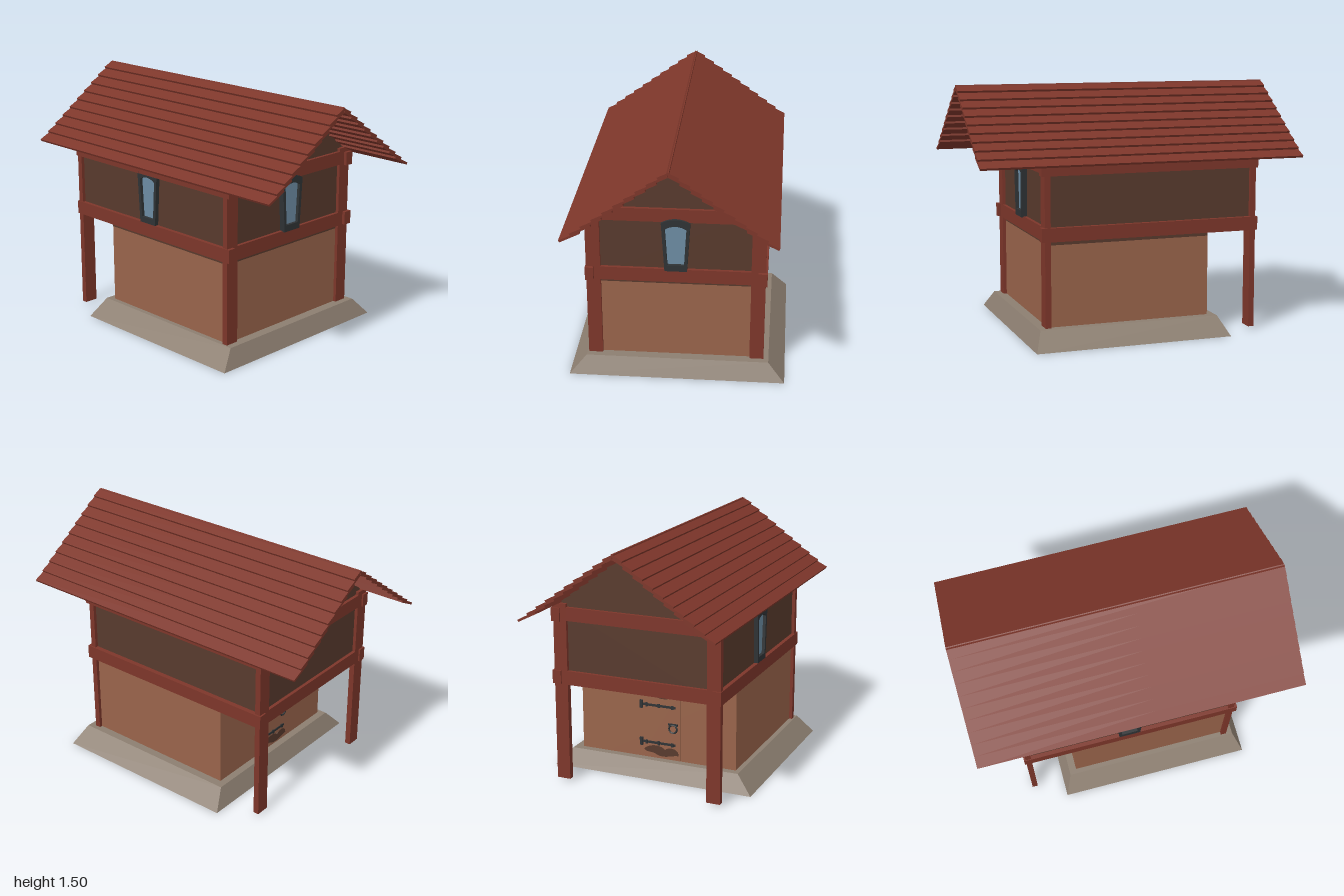
import * as THREE from 'three';

const mat = (name, color, side = THREE.FrontSide) => {
  const m = new THREE.MeshStandardMaterial({ color, side });
  m.name = name;
  return m;
};

export function createModel() {
  const red = mat('red timber', 0x7d362a);
  const clay = mat('clay wall', 0x99644b);
  const brown = mat('dark brown boards', 0x583a2d);
  const stone = mat('stone', 0x8c7e70, THREE.DoubleSide);
  const iron = mat('dark iron', 0x2f3335);
  const glass = mat('blue glass', 0x6c8ca3);

  const model = new THREE.Group();
  const add = (name, geometry, material, parent = model) => {
    const mesh = new THREE.Mesh(geometry, material);
    mesh.name = name;
    parent.add(mesh);
    return mesh;
  };
  // Box given by its limits on each axis
  const box = (name, material, x0, x1, y0, y1, z0, z1, parent = model) => {
    const mesh = add(name, new THREE.BoxGeometry(x1 - x0, y1 - y0, z1 - z0), material, parent);
    mesh.position.set((x0 + x1) / 2, (y0 + y1) / 2, (z0 + z1) / 2);
    return mesh;
  };
  const extrude = (shape, depth) => new THREE.ExtrudeGeometry(shape, { depth, bevelEnabled: false, curveSegments: 10 });
  const polygon = (points) => new THREE.Shape(points.map(([x, y]) => new THREE.Vector2(x, y)));

  // Flared stone plinth: sloping skirt and flat ledge, open underneath
  const rings = [
    [-0.65, 0.65, -0.51, 0.70, 0],
    [-0.55, 0.55, -0.46, 0.65, 0.11],
    [-0.51, 0.49, -0.41, 0.58, 0.11],
  ].map(([x0, x1, z0, z1, y]) => [[x0, y, z1], [x1, y, z1], [x1, y, z0], [x0, y, z0]]);
  const verts = [];
  for (let r = 0; r < 2; r++) {
    for (let i = 0; i < 4; i++) {
      const j = (i + 1) % 4;
      const [a, b, c, d] = [rings[r][i], rings[r][j], rings[r + 1][j], rings[r + 1][i]];
      verts.push(...a, ...b, ...c, ...a, ...c, ...d);
    }
  }
  const plinth = new THREE.BufferGeometry();
  plinth.setAttribute('position', new THREE.Float32BufferAttribute(verts, 3));
  plinth.computeVertexNormals();
  add('plinth', plinth, stone);

  // Ground floor
  box('groundFloorWalls', clay, -0.52, 0.50, 0.008, 0.595, -0.415, 0.59);
  box('floor', brown, -0.52, 0.50, 0, 0.008, -0.415, 0.59);
  box('ceilingBoards', brown, -0.52, 0.50, 0.595, 0.615, -0.415, 0.59);

  // Upper storey with both gables
  const storey = polygon([[-0.52, 0.615], [0.50, 0.615], [0.50, 1.10], [-0.01, 1.488], [-0.52, 1.10]]);
  add('upperStorey', extrude(storey, 1.29), brown).position.z = -0.70;

  // Timber frame: posts, cross beams and long side beams
  for (const [z0, z1, foot] of [[0.575, 0.61, 0.11], [-0.72, -0.685, 0.015]]) {
    box('rightPost', red, -0.54, -0.455, foot, 1.11, z0, z1);
    box('leftPost', red, 0.435, 0.52, foot, 1.11, z0, z1);
    box('lowerCrossBeam', red, -0.535, 0.525, 0.615, 0.70, z0, z1);
    box('upperCrossBeam', red, -0.535, 0.525, 1.008, 1.09, z0, z1);
  }
  for (const [x0, x1] of [[-0.545, -0.495], [0.475, 0.53]]) {
    box('lowerSideBeam', red, x0, x1, 0.618, 0.70, -0.73, 0.63);
    box('upperSideBeam', red, x0, x1, 1.0, 1.082, -0.73, 0.63);
  }

  // Roof of lapped planks
  const roof = new THREE.Group();
  roof.name = 'roof';
  roof.position.x = -0.0125;
  model.add(roof);
  for (const side of [-1, 1]) {
    for (let i = 0; i < 10; i++) {
      const x1 = 0.607 - i * 0.0607, y1 = 1.068 + i * 0.0442;
      const run = i === 9 ? x1 + 0.006 : 0.118;
      const x0 = x1 - run, y0 = y1 + run * 0.49;
      const t = 0.012;
      const section = [[x0, y0], [x0 - 0.004, y0 - t], [x1 - 0.006, y1 - t], [x1, y1]];
      const pts = section.map(([x, y]) => [side * x, y]);
      add('roofPlank', extrude(polygon(pts), 2), red, roof).position.z = -1;
    }
  }

  // Tapered windows with an arched head
  const outline = (path, bottom, top, y0, y1, peak) => {
    path.moveTo(-bottom, y0);
    path.lineTo(bottom, y0);
    path.lineTo(top, y1);
    path.quadraticCurveTo(top * 0.55, peak, 0, peak);
    path.quadraticCurveTo(-top * 0.55, peak, -top, y1);
    path.closePath();
    return path;
  };
  const makeWindow = () => {
    const group = new THREE.Group();
    group.name = 'window';
    const frame = outline(new THREE.Shape(), 0.066, 0.085, 0.695, 1.005, 1.03);
    frame.holes.push(outline(new THREE.Path(), 0.049, 0.063, 0.735, 0.967, 0.987));
    add('windowFrame', extrude(frame, 0.035), iron, group);
    const pane = outline(new THREE.Shape(), 0.051, 0.065, 0.733, 0.969, 0.989);
    add('windowPane', extrude(pane, 0.008), glass, group).position.z = 0.008;
    model.add(group);
    return group;
  };
  makeWindow().position.set(-0.008, 0, 0.59);
  const sideWindow = makeWindow();
  sideWindow.rotation.y = -Math.PI / 2;
  sideWindow.position.set(-0.51, 0, -0.06);

  // Back door with strap hinges, latch and scroll ornaments
  const door = new THREE.Group();
  door.name = 'backDoor';
  model.add(door);
  box('doorPanel', clay, -0.16, 0.10, 0.115, 0.56, -0.419, -0.412, door);
  for (const y of [0.21, 0.45]) {
    box('hingeStrap', iron, -0.13, 0.09, y - 0.007, y + 0.007, -0.424, -0.416, door);
    box('hingePin', iron, 0.085, 0.105, y - 0.025, y + 0.025, -0.43, -0.416, door);
    for (const x of [-0.11, -0.02, 0.06]) {
      box('hingeStud', iron, x - 0.007, x + 0.007, y - 0.012, y + 0.012, -0.427, -0.416, door);
    }
  }
  const latch = add('doorHandle', new THREE.TorusGeometry(0.026, 0.006, 6, 12), iron, door);
  latch.position.set(-0.115, 0.315, -0.424);
  box('handlePlate', iron, -0.145, -0.085, 0.336, 0.348, -0.428, -0.416, door);

  const scroll = new THREE.Shape();
  scroll.moveTo(-0.12, 0);
  scroll.bezierCurveTo(-0.12, 0.05, -0.05, 0.05, -0.03, 0.025);
  scroll.bezierCurveTo(0.0, 0.06, 0.08, 0.05, 0.11, 0.015);
  scroll.bezierCurveTo(0.08, -0.01, 0.05, 0.01, 0.02, -0.012);
  scroll.bezierCurveTo(-0.03, -0.03, -0.08, 0.0, -0.12, 0);
  for (const y of [0.145, 0.515]) {
    add('scrollOrnament', extrude(scroll, 0.004), brown, door).position.set(-0.03, y, -0.423);
  }
  return model;
}
